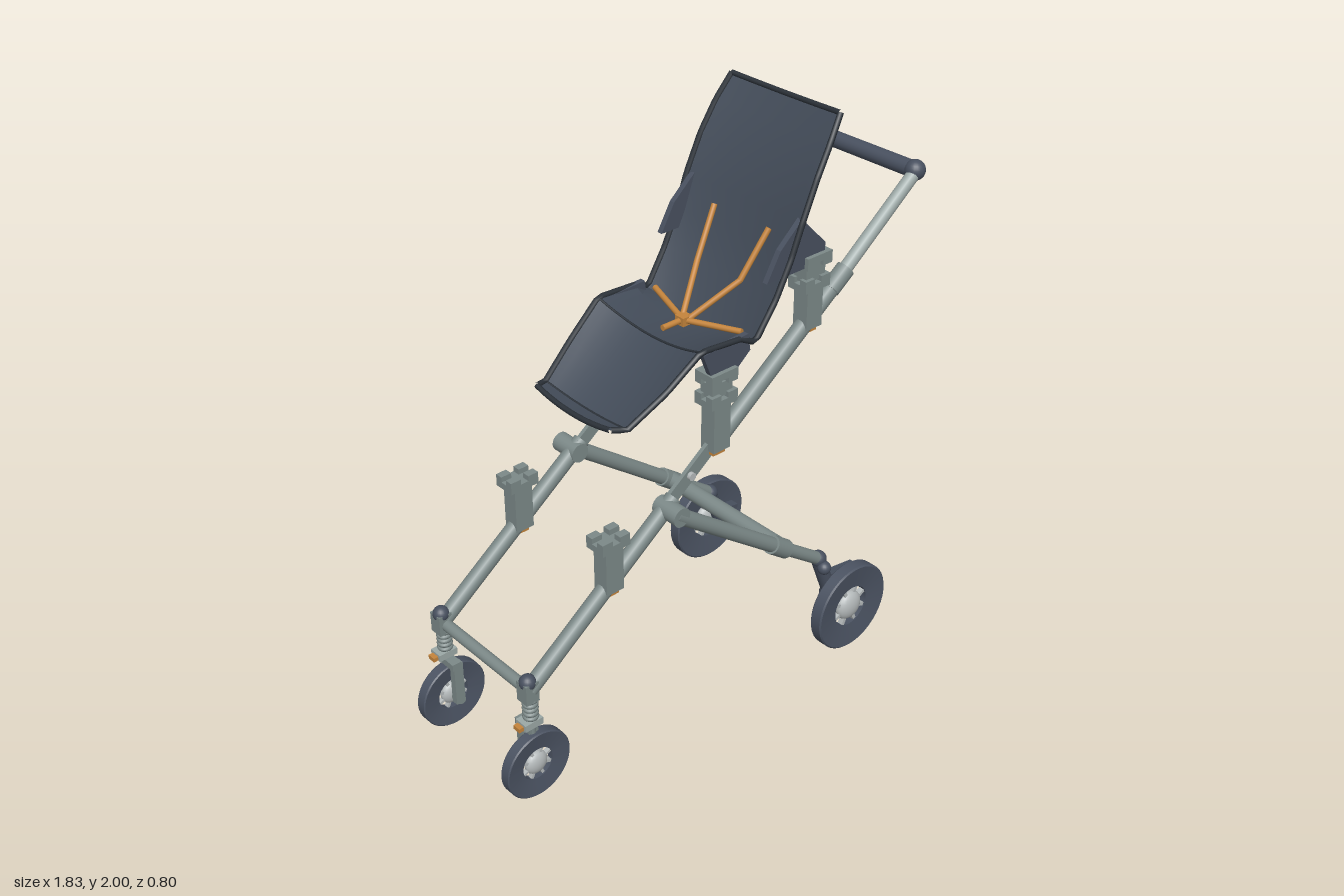
import * as THREE from 'three';
import { toCreasedNormals } from 'three/addons/utils/BufferGeometryUtils.js';

const mat = (name, color, side = THREE.FrontSide) => {
  const m = new THREE.MeshStandardMaterial({ color, side });
  m.name = name;
  return m;
};

export function createModel() {
  const model = new THREE.Group();
  model.name = 'stroller';
  const frame = mat('frame grey', 0x7c8988);
  const light = mat('light tube grey', 0x9ca8a6);
  const metal = mat('hub metal', 0xb4b9ba);
  const slate = mat('slate plastic', 0x48505f);
  const tyre = mat('tyre', 0x4b5362);
  const fabric = mat('seat fabric', 0x434c59, THREE.DoubleSide);
  const piping = mat('seat piping', 0x2c3239);
  const orange = mat('orange', 0xc4843c);

  const add = (name, geo, material, x = 0, y = 0, z = 0, parent = model) => {
    const m = new THREE.Mesh(geo, material);
    m.name = name;
    m.position.set(x, y, z);
    parent.add(m);
    return m;
  };
  const box = (name, w, h, d, material, x, y, z, parent) =>
    add(name, new THREE.BoxGeometry(w, h, d), material, x, y, z, parent);
  const ball = (name, r, material, x, y, z) =>
    add(name, new THREE.SphereGeometry(r, 20, 14), material, x, y, z);
  // Round bar between two points
  const rod = (name, a, b, r, material, r2 = r) => {
    const p = new THREE.Vector3(...a), q = new THREE.Vector3(...b);
    const dir = q.clone().sub(p);
    const m = add(name, new THREE.CylinderGeometry(r2, r, dir.length(), 20), material);
    m.position.copy(p).add(q).multiplyScalar(0.5);
    m.quaternion.setFromUnitVectors(new THREE.Vector3(0, 1, 0), dir.normalize());
    return m;
  };
  // Flat plate cut from an outline in the side plane
  const plate = (name, pts, depth, z, material) => {
    const shape = new THREE.Shape(pts.map(p => new THREE.Vector2(...p)));
    return add(name, new THREE.ExtrudeGeometry(shape, { depth, bevelEnabled: false }), material, 0, 0, z - depth / 2);
  };

  // Dished wheel with an open centre, spokes and a rounded hub
  const wheel = (name, R, w, x, y, z) => {
    const g = new THREE.Group();
    g.name = name;
    g.position.set(x, y, z);
    model.add(g);
    const h = w / 2, ri = R * 0.47;
    const profile = [[ri, -h * 0.55], [R * 0.97, -h], [R, -h * 0.8], [R, h * 0.8], [R * 0.97, h], [ri, h * 0.55], [ri, -h * 0.55]];
    const geo = new THREE.LatheGeometry(profile.map(p => new THREE.Vector2(...p)), 40);
    geo.rotateX(Math.PI / 2);
    add('tyre', toCreasedNormals(geo, 0.6), tyre, 0, 0, 0, g);
    add('hub', new THREE.SphereGeometry(R * 0.34, 20, 14), metal, 0, 0, 0, g).scale.z = 0.55;
    for (let i = 0; i < 8; i++) {
      const a = (i + 0.5) * Math.PI / 4;
      box('spoke', R * 0.24, R * 0.08, w * 0.4, metal, Math.cos(a) * R * 0.38, Math.sin(a) * R * 0.38, 0, g).rotation.z = a;
    }
  };

  // Notched coupling: a block with four prongs, pointing up (dir 1) or down (dir -1)
  const coupling = (x, y, z, dir) => {
    box('couplingBlock', 0.11, 0.024, 0.08, frame, x, y, z);
    for (const i of [-1, 1]) for (const k of [-1, 1])
      box('couplingProng', 0.04, 0.022, 0.028, frame, x + i * 0.035, y + dir * 0.02, z + k * 0.026);
  };

  // Height of the main rail at a given x
  const railY = x => 0.43 + (x + 0.8) * 0.744;

  for (const s of [-1, 1]) {
    const z = 0.23 * s;
    const on = (x, zz = z) => [x, railY(x), zz];
    // Main rail in sections, joined by a flat folding link
    rod('lowerRail', on(-0.8), on(-0.2), 0.028, frame);
    rod('upperRail', on(-0.03), on(0.54), 0.029, frame);
    rod('railCollar', on(0.48), on(0.55), 0.032, frame);
    rod('handleTube', on(0.53), on(0.88, 0.22 * s), 0.023, light);
    const link = box('foldingLink', 0.27, 0.05, 0.014, frame, -0.12, railY(-0.12), 0.225 * s);
    link.rotation.z = Math.atan(0.744);
    rod('linkBolt', [-0.13, 0.93, 0.21 * s], [-0.13, 0.93, 0.245 * s], 0.014, metal);
    ball('handleEnd', 0.036, slate, 0.88, 1.68, 0.215 * s);

    // Posts on the rail with their couplings
    for (const [x, top] of [[-0.47, 0.82], [-0.02, 1.16], [0.38, 1.43]]) {
      const base = railY(x) - 0.02;
      box('post', 0.07, top - base, 0.06, frame, x, (top + base) / 2, z);
      box('postLatch', 0.05, 0.016, 0.045, orange, x - 0.005, base - 0.006, z);
      coupling(x, top + 0.012, z, 1);
    }
    // Seat mounts standing on the rear two pairs of posts
    box('mountNeck', 0.085, 0.05, 0.055, frame, -0.02, 1.215, z);
    coupling(-0.02, 1.268, z, -1);
    box('mountNeck', 0.085, 0.07, 0.055, frame, 0.38, 1.495, z);
    coupling(0.385, 1.54, z, -1);
    plate('seatBracket', [[-0.06, 1.26], [0.04, 1.26], [0.1, 1.31], [0.09, 1.37], [-0.1, 1.36]], 0.02, 0.245 * s, slate);
    plate('backBracket', [[0.165, 1.515], [0.42, 1.515], [0.42, 1.58], [0.31, 1.69], [0.22, 1.61]], 0.02, 0.245 * s, slate);

    // Rear leg with pivot, sleeve and knee
    const lz = 0.28 * s;
    rod('legPivot', [-0.23, 0.85, 0.2 * s], [-0.23, 0.85, 0.305 * s], 0.034, frame);
    rod('rearLeg', [-0.24, 0.855, lz], [0.24, 0.5, lz], 0.027, frame);
    rod('lowerLeg', [0.24, 0.5, lz], [0.44, 0.355, lz], 0.023, frame);
    rod('legCollar', [0.2, 0.53, lz], [0.27, 0.478, lz], 0.034, frame);
    ball('ankle', 0.03, slate, 0.44, 0.355, lz);
    ball('ankleKnob', 0.025, slate, 0.44, 0.33, 0.31 * s);
    rod('axleArm', [0.44, 0.35, lz], [0.51, 0.17, lz], 0.026, slate);
    ball('axleHousing', 0.038, slate, 0.51, 0.17, lz);
    rod('rearAxle', [0.51, 0.17, lz], [0.51, 0.17, 0.37 * s], 0.015, frame);
    const pedalEnd = s > 0 ? 0.63 : 0.57;
    box('brakePedal', pedalEnd - 0.46, 0.02, 0.035, slate, (pedalEnd + 0.46) / 2, 0.25, lz).rotation.z = -0.15;
    wheel('rearWheel', 0.167, 0.05, 0.51, 0.168, 0.37 * s);

    // Front caster: sleeve, sprung stem and one-sided arm
    box('casterSleeve', 0.05, 0.075, 0.05, frame, -0.805, 0.43, z);
    ball('casterCap', 0.028, slate, -0.805, 0.462, z);
    rod('casterStem', [-0.8, 0.26, z], [-0.8, 0.42, z], 0.015, frame);
    for (let i = 0; i < 5; i++) {
      const ring = add('springRing', new THREE.TorusGeometry(0.019, 0.008, 8, 20), frame, -0.8, 0.325 + i * 0.017, z);
      ring.rotation.x = Math.PI / 2;
    }
    box('casterCollar', 0.07, 0.025, 0.05, light, -0.805, 0.305, z);
    box('casterLock', 0.025, 0.015, 0.03, orange, -0.845, 0.302, z);
    box('forkBridge', 0.035, 0.025, 0.075, frame, -0.8, 0.275, 0.205 * s);
    box('forkArm', 0.035, 0.165, 0.025, frame, -0.795, 0.2, 0.18 * s);
    rod('frontAxle', [-0.79, 0.125, 0.168 * s], [-0.79, 0.125, z], 0.015, frame);
    wheel('frontWheel', 0.125, 0.042, -0.79, 0.126, z);
  }

  // Bars across the frame
  rod('handleBar', [0.88, 1.68, -0.21], [0.88, 1.68, 0.21], 0.029, slate);
  rod('frontCrossbar', [-0.8, 0.425, -0.23], [-0.8, 0.425, 0.23], 0.02, frame);
  rod('rearCrossbar', [0.24, 0.505, -0.28], [0.24, 0.505, 0.28], 0.03, frame);

  // Seat sections from footrest to headrest: x, y, half width, sag
  const rows = [
    [-0.41, 1.19, 0.18, 0.02], [-0.36, 1.18, 0.2, 0.025], [-0.23, 1.27, 0.23, 0.04],
    [-0.1, 1.37, 0.245, 0.05], [0.06, 1.36, 0.25, 0.06], [0.12, 1.33, 0.255, 0.05],
    [0.2, 1.45, 0.26, 0.04], [0.26, 1.57, 0.262, 0.035], [0.3, 1.68, 0.265, 0.03],
    [0.36, 1.81, 0.262, 0.025], [0.42, 1.91, 0.255, 0.02], [0.475, 1.99, 0.24, 0.015],
  ];
  const last = rows.length - 1, cols = 12;
  const seatPoint = (i, u) => {
    const [x, y, w, sag] = rows[i];
    const a = rows[Math.max(i - 1, 0)], b = rows[Math.min(i + 1, last)];
    const len = Math.hypot(b[0] - a[0], b[1] - a[1]);
    const d = sag * (1 - u * u);
    return new THREE.Vector3(x + d * (b[1] - a[1]) / len, y - d * (b[0] - a[0]) / len, w * u);
  };
  const sheet = new THREE.PlaneGeometry(1, 1, cols, last);
  for (let i = 0; i <= last; i++) for (let j = 0; j <= cols; j++) {
    const p = seatPoint(i, j / cols * 2 - 1);
    sheet.attributes.position.setXYZ(i * (cols + 1) + j, p.x, p.y, p.z);
  }
  add('seat', toCreasedNormals(sheet, 0.3), fabric);

  // Piping around the rim and across the footrest folds
  const tube = (name, pts, r) => {
    const path = new THREE.CurvePath();
    for (let i = 1; i < pts.length; i++) path.add(new THREE.LineCurve3(pts[i - 1], pts[i]));
    add(name, new THREE.TubeGeometry(path, pts.length * 4, r, 8), piping);
  };
  const across = i => Array.from({ length: cols + 1 }, (_, j) => seatPoint(i, j / cols * 2 - 1));
  for (const u of [-1, 1]) tube('sidePiping', rows.map((_, i) => seatPoint(i, u)), 0.01);
  for (const i of [0, last]) tube('endPiping', across(i), 0.009);
  for (const i of [1, 3]) tube('foldSeam', across(i), 0.004);

  // Five-point harness
  box('buckle', 0.04, 0.03, 0.04, orange, 0.05, 1.335, 0);
  rod('crotchStrap', [-0.04, 1.335, 0], [0.05, 1.335, 0], 0.01, orange);
  for (const s of [-1, 1]) {
    rod('waistStrap', [0.05, 1.335, 0.01 * s], [0.11, 1.35, 0.205 * s], 0.01, orange);
    rod('shoulderStrap', [0.06, 1.34, 0.015 * s], [0.2, 1.46, 0.1 * s], 0.01, orange);
    rod('shoulderStrap', [0.2, 1.46, 0.1 * s], [0.297, 1.62, 0.125 * s], 0.01, orange);
  }
  return model;
}
